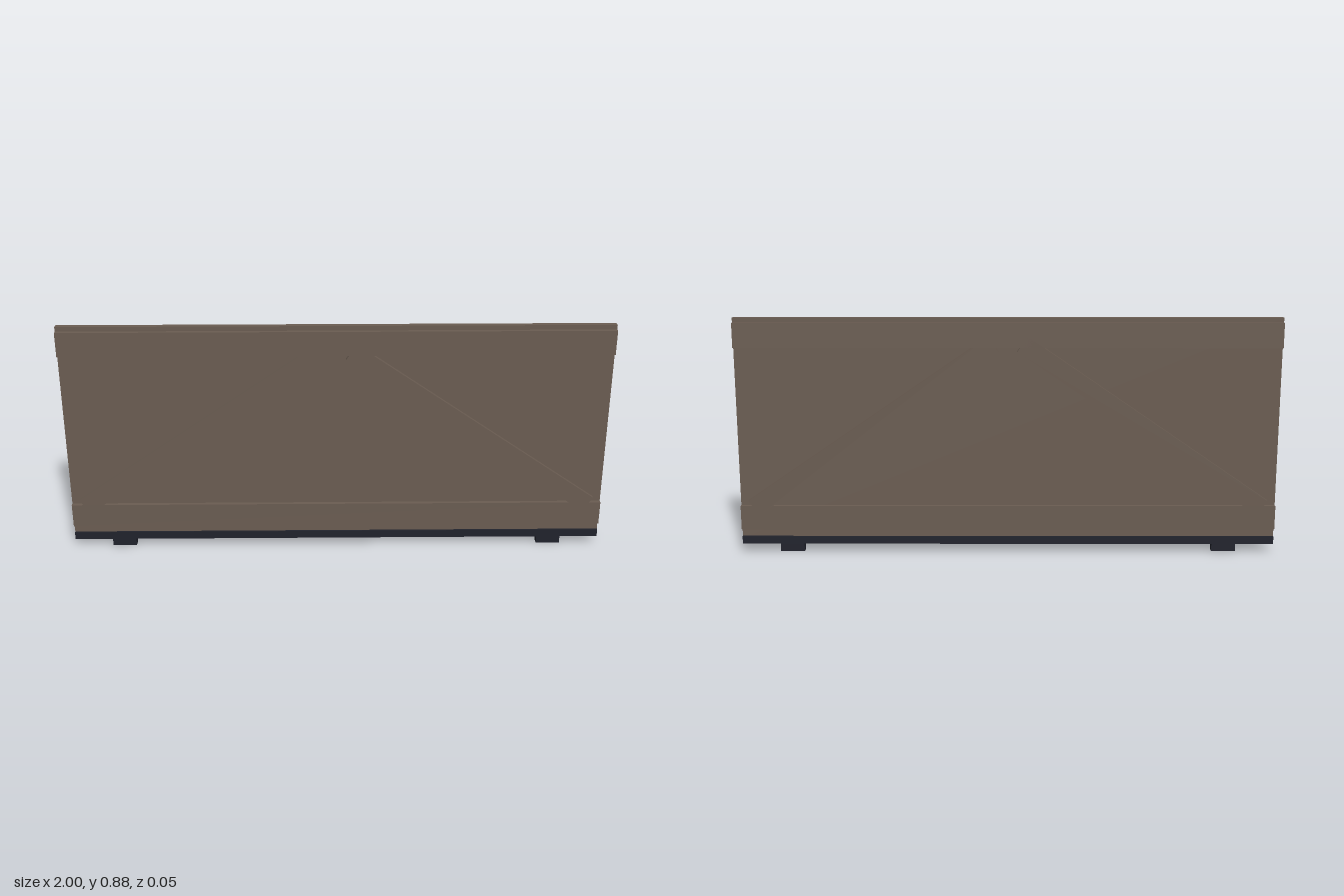
import * as THREE from 'three';

const brown = new THREE.MeshStandardMaterial({ name: 'brown', color: 0x6b5d52 });
const charcoal = new THREE.MeshStandardMaterial({ name: 'charcoal', color: 0x20222c });

function addBox(parent, name, material, size, position, angle = 0) {
  const mesh = new THREE.Mesh(new THREE.BoxGeometry(...size), material);
  mesh.name = name;
  mesh.position.set(...position);
  mesh.rotation.z = angle;
  parent.add(mesh);
}

export function createModel() {
  const model = new THREE.Group();
  model.name = 'bracedPanel';

  // Thin core sheet, showing above and below the rails
  addBox(model, 'panel', brown, [2, 0.835, 0.021], [0, 0.4675, 0]);

  // Horizontal rails, standing proud on both faces
  addBox(model, 'topRail', brown, [2, 0.092, 0.05], [0, 0.822, 0]);
  addBox(model, 'bottomRail', brown, [2, 0.091, 0.05], [0, 0.1345, 0]);

  // Bottom track
  addBox(model, 'track', charcoal, [2, 0.029, 0.036], [0, 0.0445, 0]);

  // Mirrored diagonal braces and feet
  for (const side of [-1, 1]) {
    const label = side > 0 ? 'left' : 'right';
    addBox(model, label + 'Brace', brown, [1.09, 0.068, 0.05], [side * 0.502, 0.481, 0], -side * 0.603);
    addBox(model, label + 'Foot', charcoal, [0.09, 0.032, 0.027], [side * 0.813, 0.016, 0]);
  }
  return model;
}
